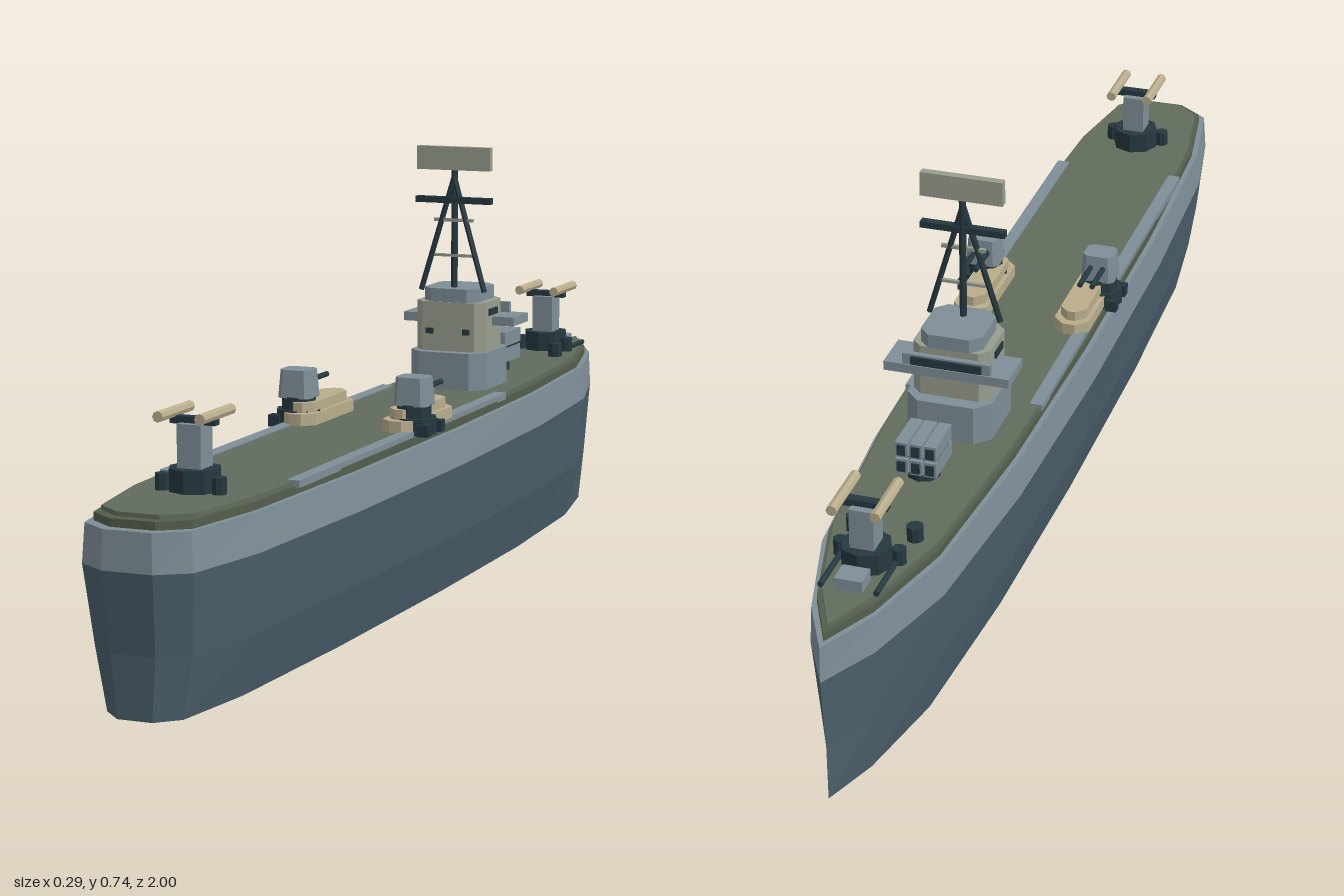
import * as THREE from 'three';

const mat = (name, color) => new THREE.MeshStandardMaterial({ name, color, flatShading: true });

// Loft closed rings (counter-clockwise from above, listed bottom to top), with capped ends.
function loft(rings, capBottom = true, capTop = true) {
  const pos = [];
  const tri = (a, b, c) => pos.push(...a, ...b, ...c);
  const n = rings[0].length;
  for (let k = 0; k < rings.length - 1; k++) {
    for (let i = 0; i < n; i++) {
      const j = (i + 1) % n, lo = rings[k], up = rings[k + 1];
      tri(lo[i], lo[j], up[j]);
      tri(lo[i], up[j], up[i]);
    }
  }
  const cap = (ring, flip) => {
    const c = [0, ring[0][1], ring.reduce((s, p) => s + p[2], 0) / n];
    ring.forEach((p, i) => {
      const q = ring[(i + 1) % n];
      flip ? tri(c, q, p) : tri(c, p, q);
    });
  };
  if (capBottom) cap(rings[0], true);
  if (capTop) cap(rings[rings.length - 1], false);
  const g = new THREE.BufferGeometry();
  g.setAttribute('position', new THREE.Float32BufferAttribute(pos, 3));
  g.computeVertexNormals();
  return g;
}

// Half-widths of the waterplane from stern to bow: [z, half-width]
const stations = [[1, 0.042], [0.965, 0.092], [0.8, 0.122], [0.45, 0.137], [0, 0.14],
  [-0.4, 0.13], [-0.72, 0.103], [-0.9, 0.052]];
function hullRing(y, sx, sz) {
  const side = stations.map(([z, w]) => [w * sx, y, z * sz]);
  const other = side.map(([x, yy, z]) => [-x, yy, z]).reverse();
  return [...side, [0, y, -sz], ...other];
}

// Rectangle with chamfered corners
function chamfered(hw, hd, c, y) {
  return [[hw - c, y, hd], [hw, y, hd - c], [hw, y, c - hd], [hw - c, y, -hd],
    [c - hw, y, -hd], [-hw, y, c - hd], [-hw, y, hd - c], [c - hw, y, hd]];
}

export function createModel() {
  const hullBlue = mat('hullBlue', 0x4b606d);
  const grey = mat('shipGrey', 0x7f8e98);
  const olive = mat('deckOlive', 0x616c5d);
  const oliveDark = mat('deckEdgeOlive', 0x535e4c);
  const dark = mat('darkSteel', 0x25383f);
  const sage = mat('paleSage', 0x989f8f);
  const sand = mat('sand', 0xb9ad8c);

  const ship = new THREE.Group();
  ship.name = 'warship';
  const group = (name, x, y, z, parent = ship) => {
    const g = new THREE.Group();
    g.name = name;
    g.position.set(x, y, z);
    parent.add(g);
    return g;
  };
  const add = (parent, name, geo, material, x = 0, y = 0, z = 0) => {
    const m = new THREE.Mesh(geo, material);
    m.name = name;
    m.position.set(x, y, z);
    parent.add(m);
    return m;
  };
  const box = (p, name, material, w, h, d, x, y, z) =>
    add(p, name, new THREE.BoxGeometry(w, h, d), material, x, y, z);
  const cyl = (p, name, material, r, h, x, y, z, sides = 8) =>
    add(p, name, new THREE.CylinderGeometry(r, r, h, sides), material, x, y, z);
  const barrel = (p, name, material, r, len, x, y, z) => {
    const m = cyl(p, name, material, r, len, x, y, z);
    m.rotation.x = Math.PI / 2;
    return m;
  };
  const block = (p, name, material, hw, hd, c, y0, y1, z = 0) =>
    add(p, name, loft([chamfered(hw, hd, c, y0), chamfered(hw, hd, c, y1)]), material, 0, 0, z);
  const strut = (p, name, material, r, a, b) => {
    const from = new THREE.Vector3(...a), dir = new THREE.Vector3(...b).sub(from);
    const m = cyl(p, name, material, r, dir.length(), 0, 0, 0, 6);
    m.position.copy(from).addScaledVector(dir, 0.5);
    m.quaternion.setFromUnitVectors(new THREE.Vector3(0, 1, 0), dir.normalize());
  };

  // Hull, sheer band and stepped deck
  add(ship, 'lowerHull', loft([hullRing(0, 0.69, 0.98), hullRing(0.1, 0.88, 0.983),
    hullRing(0.228, 1, 1)], true, false), hullBlue);
  add(ship, 'sheerBand', loft([hullRing(0.228, 1, 1), hullRing(0.29, 0.955, 0.998)], false), grey);
  add(ship, 'deckEdge', loft([hullRing(0.29, 0.89, 0.98), hullRing(0.303, 0.89, 0.98)]), oliveDark);
  add(ship, 'deck', loft([hullRing(0.303, 0.85, 0.962), hullRing(0.31, 0.85, 0.962)]), olive);
  for (const s of [1, -1]) {
    box(ship, 'deckWalkway', grey, 0.022, 0.012, 0.9, s * 0.109, 0.306, 0.2);
  }

  // Bridge tower
  const bridge = group('bridge', 0, 0, -0.325);
  block(bridge, 'deckhouse', grey, 0.073, 0.076, 0.025, 0.308, 0.377);
  block(bridge, 'wheelhouse', sage, 0.066, 0.054, 0.016, 0.377, 0.466, 0.002);
  block(bridge, 'bridgeRoof', grey, 0.053, 0.054, 0.018, 0.466, 0.49, 0);
  box(bridge, 'bridgeWings', grey, 0.214, 0.016, 0.075, 0, 0.429, -0.032);
  box(bridge, 'wingScreen', grey, 0.15, 0.02, 0.01, 0, 0.446, -0.062);
  box(bridge, 'bridgeWindows', dark, 0.12, 0.014, 0.004, 0, 0.446, -0.069);
  for (const s of [1, -1]) {
    box(bridge, 'sideWindow', dark, 0.004, 0.012, 0.04, s * 0.067, 0.447, 0.005);
    box(bridge, 'aftWindow', dark, 0.014, 0.01, 0.004, s * 0.035, 0.413, 0.057);
  }

  // Tripod mast with yard and radar panel
  const mast = group('mast', 0, 0, -0.3);
  strut(mast, 'mastPole', dark, 0.006, [0, 0.485, 0], [0, 0.705, 0]);
  for (const s of [1, -1]) {
    strut(mast, 'mastLeg', dark, 0.005, [s * 0.061, 0.484, 0.008], [0, 0.69, 0.002]);
  }
  box(mast, 'lowerSpreader', sage, 0.075, 0.005, 0.006, 0, 0.548, 0.004);
  box(mast, 'upperSpreader', sage, 0.075, 0.006, 0.006, 0, 0.612, 0.004);
  box(mast, 'yard', dark, 0.144, 0.011, 0.014, 0, 0.648, 0.003);
  box(mast, 'radarPanel', sage, 0.14, 0.042, 0.014, 0, 0.723, 0);

  // Twin gun mounts at bow and stern
  for (const [name, z] of [['foreGun', -0.785], ['aftGun', 0.77]]) {
    const gun = group(name, 0, 0.31, z);
    cyl(gun, 'gunBase', dark, 0.042, 0.036, 0, 0.018, 0);
    box(gun, 'gunPedestal', grey, 0.04, 0.068, 0.042, 0, 0.07, 0);
    box(gun, 'gunCrossbar', dark, 0.076, 0.012, 0.016, 0, 0.108, 0);
    for (const s of [1, -1]) {
      barrel(gun, 'gunBarrel', sand, 0.009, 0.11, s * 0.035, 0.119, 0);
      cyl(gun, 'ammunitionDrum', dark, 0.012, 0.026, s * 0.048, 0.013, 0.015);
    }
  }

  // Foredeck fittings
  box(ship, 'anchorWinch', grey, 0.045, 0.02, 0.04, 0, 0.32, -0.85);
  for (const s of [1, -1]) {
    barrel(ship, 'anchorChain', dark, 0.005, 0.1, s * 0.045, 0.314, -0.82);
    cyl(ship, 'bollard', dark, 0.014, 0.026, s * 0.05, 0.322, -0.7);
  }

  // Rocket launcher: two rows of three square tubes
  const launcher = group('rocketLauncher', 0, 0.31, -0.51);
  cyl(launcher, 'launcherBase', dark, 0.028, 0.02, 0, 0.01, 0);
  box(launcher, 'launcherFrame', dark, 0.066, 0.05, 0.06, 0, 0.045, 0);
  for (const y of [0.032, 0.062]) {
    for (const x of [-0.024, 0, 0.024]) {
      box(launcher, 'launchTube', grey, 0.021, 0.026, 0.08, x, y, 0);
      box(launcher, 'tubeMouth', dark, 0.014, 0.018, 0.003, x, y, -0.041);
    }
  }

  // Port and starboard sponson turrets
  for (const s of [1, -1]) {
    const sponson = group('sponson', s * 0.092, 0, 0.1);
    block(sponson, 'sponsonPlatform', sand, 0.031, 0.1, 0.02, 0.31, 0.33);
    block(sponson, 'sponsonTop', sand, 0.023, 0.085, 0.016, 0.33, 0.347);
    const turret = group('turret', s * 0.014, 0, 0.05, sponson);
    cyl(turret, 'turretRing', dark, 0.04, 0.028, 0, 0.318, 0);
    cyl(turret, 'turretCollar', dark, 0.031, 0.022, 0, 0.343, 0);
    const house = group('turretHouse', 0, 0, 0, turret);
    add(house, 'turretBody', loft([chamfered(0.03, 0.027, 0.008, 0.352),
      chamfered(0.027, 0.023, 0.008, 0.4)]), grey);
    for (const b of [-0.011, 0.011]) {
      barrel(turret, 'turretBarrel', dark, 0.005, 0.075, b, 0.378, -0.055);
    }
    for (const z of [-0.03, 0.03]) {
      box(turret, 'turretFender', dark, 0.02, 0.02, 0.018, s * 0.03, 0.314, z);
    }
  }
  return ship;
}
